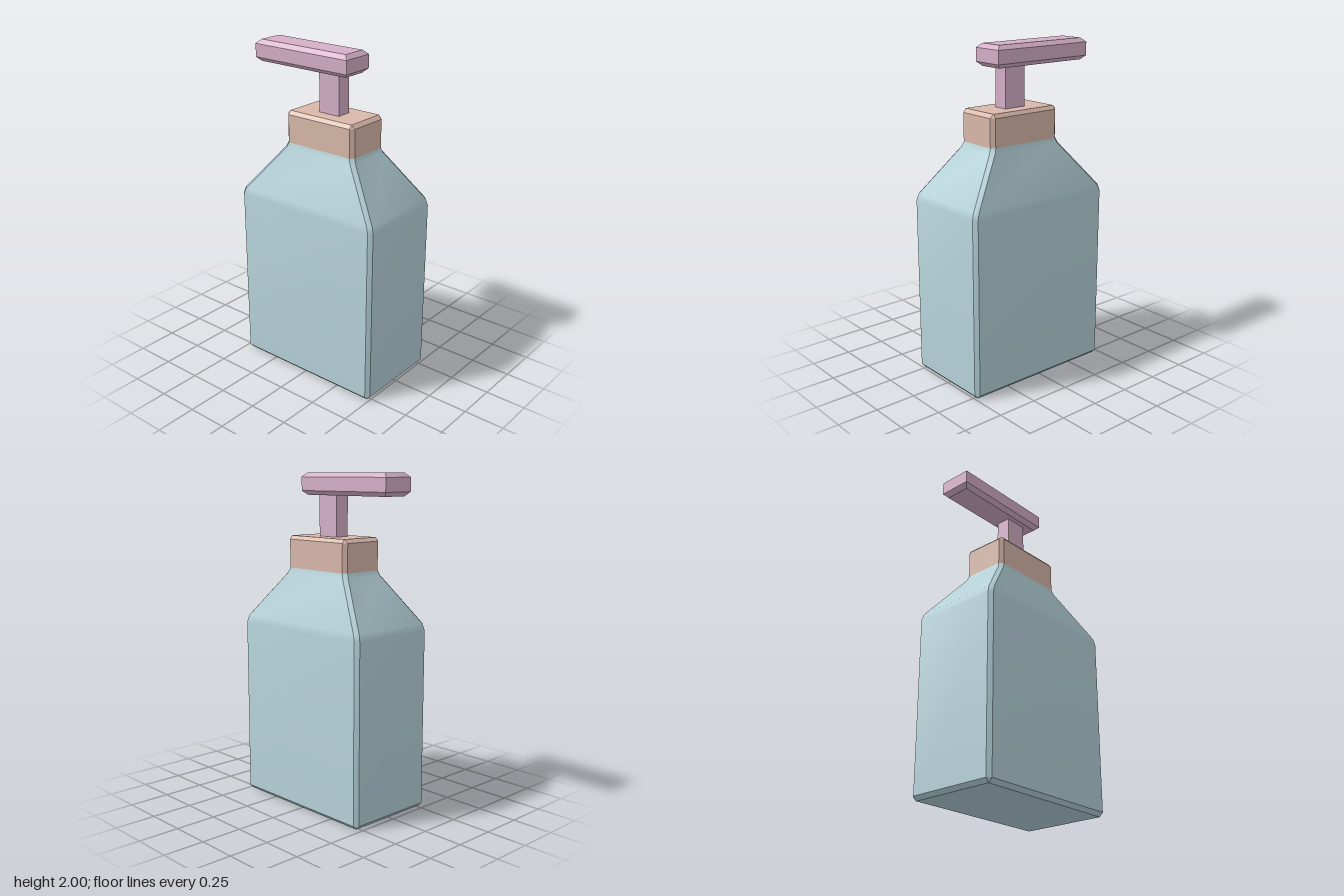
import * as THREE from 'three';
import { toCreasedNormals } from 'three/addons/utils/BufferGeometryUtils.js';

// Rectangle with cut corners, counter-clockwise from above
function ring([y, hx, hz, c], cx) {
  return [
    [hx, hz - c], [hx, -hz + c], [hx - c, -hz], [-hx + c, -hz],
    [-hx, -hz + c], [-hx, hz - c], [-hx + c, hz], [hx - c, hz],
  ].map(([x, z]) => new THREE.Vector3(x + cx, y, z));
}

// Closed loft through rings of [y, half width, half depth, corner cut]
function loft(sections, cx) {
  const rings = sections.map((s) => ring(s, cx));
  const pos = [];
  const tri = (a, b, c) => {
    if (new THREE.Triangle(a, b, c).getArea() > 1e-8) {
      for (const v of [a, b, c]) pos.push(v.x, v.y, v.z);
    }
  };
  for (let r = 0; r < rings.length - 1; r++) {
    for (let i = 0; i < 8; i++) {
      const j = (i + 1) % 8;
      const lo = rings[r], hi = rings[r + 1];
      tri(lo[i], lo[j], hi[j]);
      tri(lo[i], hi[j], hi[i]);
    }
  }
  const bottom = rings[0], top = rings[rings.length - 1];
  for (let i = 1; i < 7; i++) {
    tri(bottom[0], bottom[i + 1], bottom[i]);
    tri(top[0], top[i], top[i + 1]);
  }
  const g = new THREE.BufferGeometry();
  g.setAttribute('position', new THREE.Float32BufferAttribute(pos, 3));
  return toCreasedNormals(g, 0.5);
}

export function createModel() {
  const group = new THREE.Group();
  group.name = 'pumpBottle';

  const material = (name, color) => {
    const m = new THREE.MeshStandardMaterial({ color });
    m.name = name;
    return m;
  };
  const blue = material('paleBlue', 0xb5d2d9);
  const peach = material('peach', 0xd9b8aa);
  const pink = material('pink', 0xd5afc7);

  const add = (name, geometry, mat) => {
    const mesh = new THREE.Mesh(geometry, mat);
    mesh.name = name;
    group.add(mesh);
  };

  // Bottle with bevelled edges and softly bent shoulders
  add('bottle', loft([
    [0, 0.472, 0.268, 0],
    [0.024, 0.494, 0.291, 0.022],
    [1.09, 0.494, 0.291, 0.022],
    [1.13, 0.482, 0.284, 0.022],
    [1.405, 0.26, 0.153, 0.022],
    [1.435, 0.248, 0.145, 0.022],
  ], 0.01), blue);

  // Collar
  add('collar', loft([
    [1.435, 0.248, 0.145, 0.022],
    [1.606, 0.248, 0.145, 0.022],
    [1.628, 0.226, 0.128, 0],
  ], 0.01), peach);

  // Pump stem
  add('stem', loft([
    [1.62, 0.072, 0.046, 0],
    [1.89, 0.072, 0.046, 0],
  ], 0.008), pink);

  // Pump head, reaching out over one side
  add('pumpHead', loft([
    [1.87, 0.316, 0.076, 0],
    [1.895, 0.342, 0.101, 0],
    [1.975, 0.342, 0.101, 0],
    [2, 0.316, 0.076, 0],
  ], -0.165), pink);

  return group;
}
